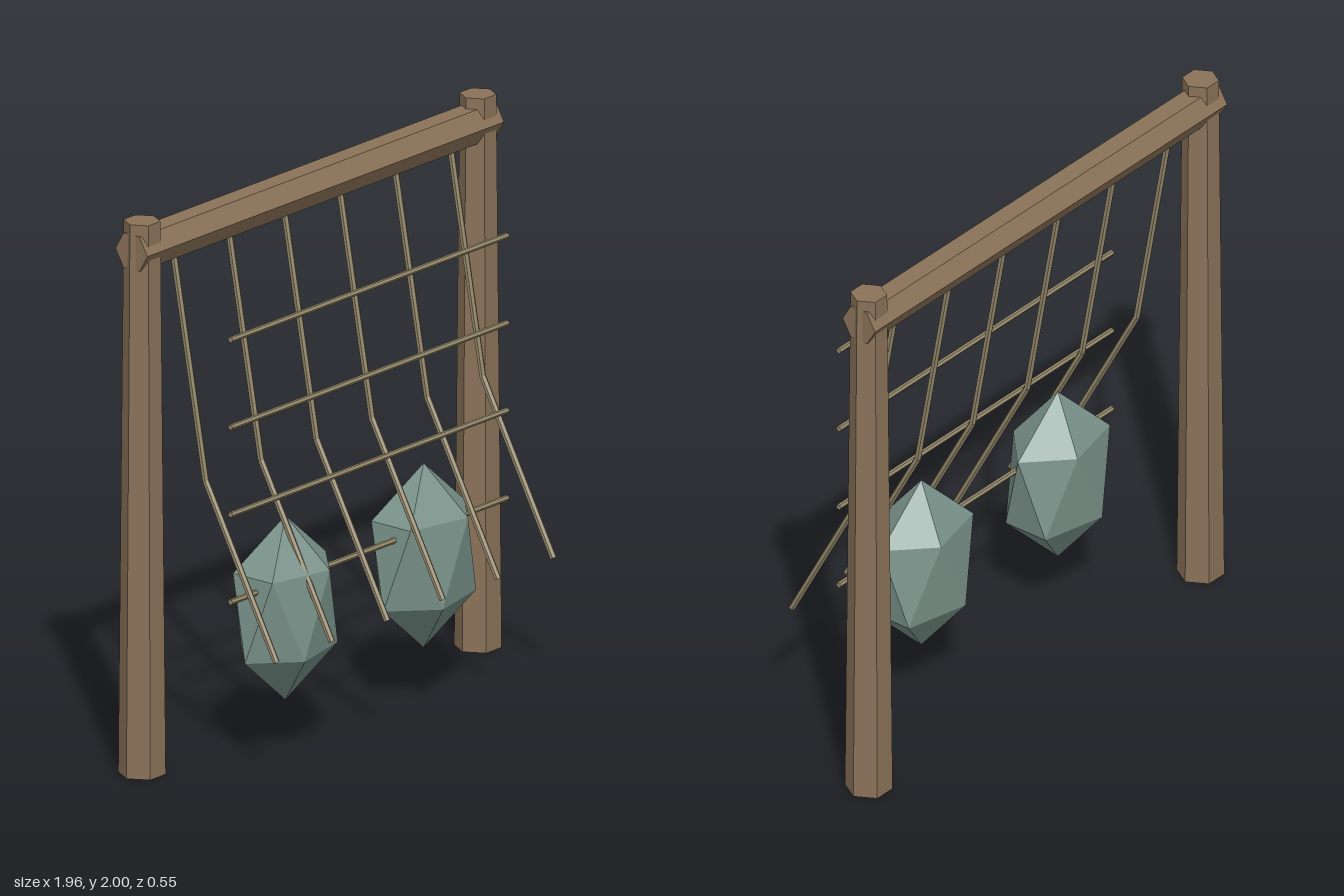
import * as THREE from 'three';

export function createModel() {
  const model = new THREE.Group();
  model.name = 'ropeNetFrame';

  const material = (name, color) =>
    Object.assign(new THREE.MeshStandardMaterial({ color, flatShading: true }), { name });
  const wood = material('wood', 0x8b7359);
  const rope = material('rope', 0x94886a);
  const stone = material('stone', 0x7a938a);

  const add = (name, geometry, mat, parent = model) => {
    const mesh = new THREE.Mesh(geometry, mat);
    mesh.name = name;
    parent.add(mesh);
    return mesh;
  };

  // Straight rope between two points
  const up = new THREE.Vector3(0, 1, 0);
  const addRope = (name, a, b, radius, parent) => {
    const dir = b.clone().sub(a);
    const mesh = add(name, new THREE.CylinderGeometry(radius, radius, dir.length(), 6), rope, parent);
    mesh.position.copy(a).add(b).multiplyScalar(0.5);
    mesh.quaternion.setFromUnitVectors(up, dir.normalize());
  };

  // Tapered hexagonal posts, corners pointing sideways
  for (const [name, side] of [['leftPost', 1], ['rightPost', -1]]) {
    const geometry = new THREE.CylinderGeometry(0.064, 0.083, 2, 6).rotateY(Math.PI / 6);
    add(name, geometry, wood).position.set(side * 0.895, 1, -0.204);
  }

  // Hexagonal top beam, corners pointing front and back
  const beam = new THREE.CylinderGeometry(0.072, 0.072, 1.9, 6).rotateZ(Math.PI / 2);
  add('topBeam', beam, wood).position.set(0, 1.898, -0.205);

  // Hanging ropes, each bent once on the way down
  for (let i = 0; i < 6; i++) {
    const x = -0.738 + i * 0.2952;
    const strand = new THREE.Group();
    strand.name = 'hangingRope';
    model.add(strand);
    const [top, bend, end] = [[1.9, -0.204], [1.05, -0.05], [0.46, 0.267]]
      .map(([y, z]) => new THREE.Vector3(x, y, z));
    addRope('upperRope', top, bend, 0.012, strand);
    addRope('lowerRope', bend, end, 0.012, strand);
  }

  // Horizontal ropes
  for (let i = 0; i < 4; i++) {
    const y = 0.634 + i * 0.3165;
    addRope('crossRope', new THREE.Vector3(-0.738, y, 0.06), new THREE.Vector3(0.738, y, 0.06), 0.0105);
  }

  // Faceted stones, stretched icosahedra standing on a corner
  const tilt = Math.atan(2 / (1 + Math.sqrt(5)));
  for (const x of [-0.421, 0.316]) {
    const geometry = new THREE.IcosahedronGeometry(1, 0).rotateZ(-tilt).scale(0.241, 0.334, 0.168);
    add('hangingStone', geometry, stone).position.set(x, 0.53, 0.04);
  }

  return model;
}
